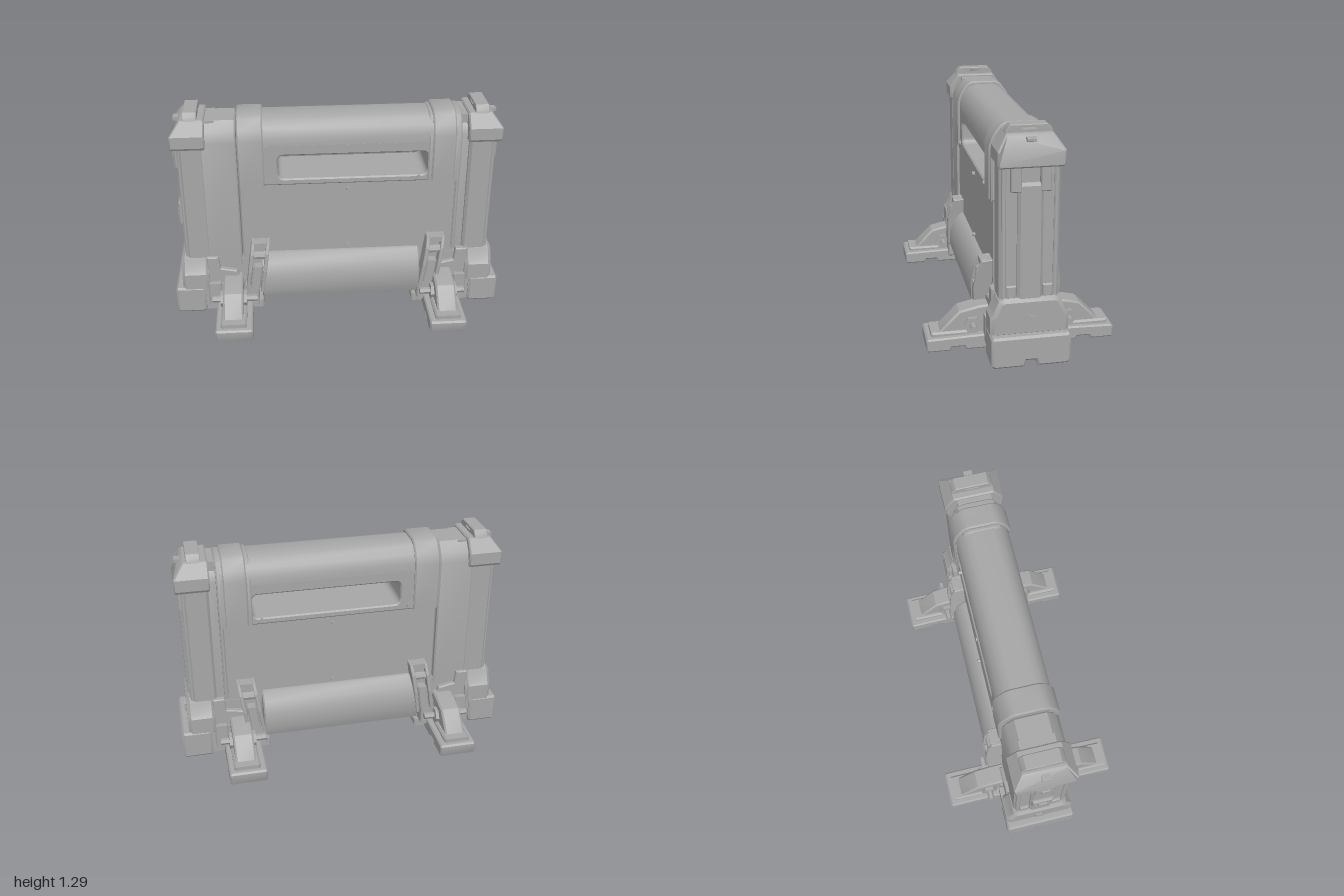
import * as THREE from 'three';
import { toCreasedNormals } from 'three/addons/utils/BufferGeometryUtils.js';

export function createModel() {
  const root = new THREE.Group();
  const gray = new THREE.MeshStandardMaterial({ color: 0xa6a6a6 });
  gray.name = 'plain gray';

  const add = (name, geo, crease = 0.5) => {
    const mesh = new THREE.Mesh(toCreasedNormals(geo, crease), gray);
    mesh.name = name;
    root.add(mesh);
    return mesh;
  };
  const extrude = (shape, depth, bevel) => new THREE.ExtrudeGeometry(shape, {
    depth: depth - 2 * bevel, bevelEnabled: bevel > 0, bevelThickness: bevel, bevelSize: bevel,
    bevelOffset: -bevel, bevelSegments: 1, curveSegments: 5,
  }).translate(0, 0, bevel);

  // Section of [z, y] points swept from xa to xb
  const prism = (pts, xa, xb, bevel = 0.008, hole) => {
    const toV = ([z, y]) => new THREE.Vector2(-z, y);
    const shape = new THREE.Shape(pts.map(toV));
    if (hole) shape.holes.push(new THREE.Path(hole.map(toV)));
    return extrude(shape, Math.abs(xb - xa), bevel).rotateY(Math.PI / 2).translate(Math.min(xa, xb), 0, 0);
  };
  // Completes a section given only its +z half, listed from bottom to top
  const sym = (half) => [...half, ...half.map(([z, y]) => [-z, y]).reverse()];
  const rect = (z0, z1, y0, y1) => [[z0, y0], [z1, y0], [z1, y1], [z0, y1]];
  const block = (name, xa, xb, y0, y1, z0, z1, bevel = 0.008) =>
    add(name, prism(rect(z0, z1, y0, y1), xa, xb, bevel));
  // Outline of [x, y] points given thickness from z0 to z1
  const plate = (pts, z0, z1, bevel = 0.006) =>
    extrude(new THREE.Shape(pts.map((p) => new THREE.Vector2(...p))), z1 - z0, bevel).translate(0, 0, z0);
  const rod = (name, r, sides, xa, xb, y, z) =>
    add(name, new THREE.CylinderGeometry(r, r, Math.abs(xb - xa), sides).rotateZ(Math.PI / 2)
      .translate((xa + xb) / 2, y, z));

  // Handle slab with a rounded slot through it
  const slab = new THREE.Shape([[-0.58, 0.84], [0.72, 0.84], [0.72, 1.1], [-0.58, 1.1]].map((p) => new THREE.Vector2(...p)));
  const x0 = -0.35, x1 = 0.53, y0 = 0.88, y1 = 1.03, r = 0.035;
  const slot = new THREE.Path();
  slot.absarc(x1 - r, y1 - r, r, 0, Math.PI / 2);
  slot.absarc(x0 + r, y1 - r, r, Math.PI / 2, Math.PI);
  slot.absarc(x0 + r, y0 + r, r, Math.PI, Math.PI * 1.5);
  slot.absarc(x1 - r, y0 + r, r, Math.PI * 1.5, Math.PI * 2);
  slot.closePath();
  slab.holes.push(slot);
  add('handleSlab', extrude(slab, 0.316, 0.008).translate(0, 0, -0.158));
  const beamTop = sym([[0.158, 1.09], [0.155, 1.14], [0.135, 1.19], [0.1, 1.23], [0.06, 1.245]]);
  add('handleBeam', prism(beamTop, -0.58, 0.7, 0), 0.7);

  // Centre panel, end panels and bottom bar
  block('centrePanel', -0.58, 0.72, 0.3, 0.86, -0.145, 0.145);
  const endPanel = sym([[0.158, 0.3], [0.158, 1.12], [0.135, 1.18], [0.09, 1.235]]);
  add('endPanel', prism(endPanel, -0.79, -0.585));
  const endPanelNarrow = sym([[0.13, 0.3], [0.13, 1.12], [0.11, 1.17], [0.08, 1.2]]);
  add('endPanel', prism(endPanelNarrow, 0.71, 0.8));
  block('panelRib', 0.7, 0.725, 0.36, 1.08, -0.155, 0.155);
  const bar = sym([[0.15, 0.07], [0.215, 0.1], [0.235, 0.16], [0.235, 0.25], [0.21, 0.33], [0.165, 0.38], [0.14, 0.385]]);
  add('bottomBar', prism(bar, -0.47, 0.5), 0.65);
  for (const z of [-0.146, 0.146])
    for (const [x, y] of [[0.06, 0.41], [0.06, 0.8], [-0.4, 0.87], [0.48, 0.87]])
      add('panelScrew', new THREE.CylinderGeometry(0.012, 0.012, 0.03, 6).rotateX(Math.PI / 2)
        .translate(x, y, y > 0.85 ? z * 1.06 : z));

  // Collars clamped around the handle beam
  const collar = sym([[0.172, 0.84], [0.172, 1.13], [0.15, 1.19], [0.11, 1.245], [0.075, 1.262]]);
  add('collar', prism(collar, -0.58, -0.43));
  add('collar', prism(collar, 0.555, 0.69));
  const collarStep = sym([[0.165, 0.84], [0.165, 1.12], [0.105, 1.235], [0.07, 1.25]]);
  add('collarStep', prism(collarStep, 0.68, 0.725));
  add('collarStep', prism(collarStep, 0.53, 0.56));

  for (const s of [-1, 1]) {
    // End posts with raised centre column
    block('post', s * 0.77, s * 0.915, 0.3, 1.1, -0.16, 0.16, 0.015);
    block('postColumn', s * 0.89, s * 0.94, 0.3, 1.0, -0.068, 0.068, 0.015);
    for (const z of [-1, 1]) {
      block('postBracket', s * 0.89, s * 0.945, 0.955, 1.09, z * 0.05, z * 0.105, 0.006);
      block('postSideRail', s * 0.9, s * 0.93, 0.37, 0.44, z * 0.07, z * 0.125, 0.006);
      block('postRib', s * 0.895, s * 0.925, 0.35, 1.09, z * 0.125, z * 0.15, 0.006);
    }
    // Chamfered post caps, tapering on the outer side
    const cap = prism(sym([[0.165, 1.085], [0.175, 1.1], [0.175, 1.17], [0.12, 1.25]]), s * 0.76, s * 0.96);
    const p = cap.attributes.position;
    for (let i = 0; i < p.count; i++) {
      const x = Math.abs(p.getX(i)), y = p.getY(i);
      if (x > 0.85 && y > 1.18) p.setX(i, s * (x - 0.75 * (y - 1.17)));
    }
    cap.computeVertexNormals();
    add('postCap', cap);
    const lug = sym([[0.125, 1.24], [0.115, 1.27], [0.095, 1.29]]);
    add('capLug', prism(lug, s * 0.8, s * 0.88, 0.004, rect(-0.04, 0.04, 1.26, 1.278)));
    block('capPin', s * 0.9, s * 0.945, 1.215, 1.235, -0.025, 0.025, 0.003);
    block('capNeck', s * 0.7, s * 0.78, 1.05, 1.235, -0.1, 0.1);

    // Post sockets and end blocks
    const socket = sym([[0.212, 0.16], [0.212, 0.27], [0.195, 0.29], [0.165, 0.36], [0.135, 0.375]]);
    add('postSocket', prism(socket, s * 0.79, s * 0.955, 0.02));
    rod('socketBolt', 0.038, 5, s * 0.94, s * 0.965, 0.25, 0);
    const notch = 0.035;
    add('endBlock', prism([[0.2, 0], [0.215, 0.015], [0.215, 0.165], [0.205, 0.178], [-0.205, 0.178], [-0.215, 0.165],
      [-0.215, 0.015], [-0.2, 0], [-notch, 0], [-0.025, 0.035], [0.025, 0.035], [notch, 0]], s * 0.82, s * 0.998, 0.012));
    block('baseCore', s * 0.5, s * 0.84, 0.02, 0.34, -0.15, 0.15);
    block('basePlate', s * 0.465, s * 0.85, 0.005, 0.055, -0.19, 0.19);
    block('baseStep', s * 0.58, s * 0.84, 0.04, 0.19, -0.195, 0.195);

    for (const z of [-1, 1]) {
      const side = (pts) => pts.map(([a, b]) => [z * a, b]);
      // Outrigger pads with a notch beneath, and sloped arms above
      const pad = side([[0.15, 0], [0.31, 0], [0.32, 0.02], [0.39, 0.02], [0.4, 0], [0.525, 0], [0.53, 0.01],
        [0.53, 0.065], [0.52, 0.075], [0.15, 0.085]]);
      add('footPad', prism(pad, s * 0.53, s * 0.75));
      const arm = side([[0.15, 0.05], [0.48, 0.05], [0.465, 0.085], [0.34, 0.21], [0.23, 0.235], [0.15, 0.24]]);
      add('footArm', prism(arm, s * 0.585, s * 0.705, 0.01));
      add('footSole', prism(side(rect(0.24, 0.5, 0.06, 0.1)), s * 0.565, s * 0.72, 0.01));
      // Hinge hardware
      rod('hingeNut', 0.05, 6, s * 0.565, s * 0.725, 0.13, z * 0.27);
      rod('hingePin', 0.02, 6, s * 0.5, s * 0.775, 0.13, z * 0.27);
      block('hingeBracket', s * 0.49, s * 0.58, 0.05, 0.17, z * 0.15, z * 0.24);
      block('hingeBracket', s * 0.72, s * 0.8, 0.05, 0.2, z * 0.15, z * 0.21);
      // Corner gusset above the foot
      const gusset = [[0.59, 0.18], [0.8, 0.18], [0.8, 0.37], [0.73, 0.37], [0.72, 0.29], [0.62, 0.27]].map(([x, y]) => [s * x, y]);
      add('gusset', plate(gusset, z > 0 ? 0.14 : -0.18, z > 0 ? 0.18 : -0.14));
    }
  }

  // Lugs on one end post
  for (const [a, b] of [[0.55, 0.69], [0.93, 1.07]]) {
    block('postLug', -0.9, -0.957, a, b, -0.06, 0.06);
    block('lugPin', -0.95, -0.965, (a + b) / 2 - 0.025, (a + b) / 2 + 0.025, -0.025, 0.025, 0.003);
  }

  // Leaning latches that hold the bottom bar
  for (const cx of [-0.49, 0.575]) {
    for (const z of [-1, 1]) {
      const parts = [];
      const rail = [[0.14, 0.15], [0.245, 0.15], [0.25, 0.3], [0.235, 0.41], [0.205, 0.475], [0.14, 0.48]].map(([a, b]) => [a * z, b]);
      for (const dx of [-0.055, 0.035]) parts.push(add('latchRail', prism(rail, dx, dx + 0.022, 0.004)));
      parts.push(block('latchBack', -0.04, 0.04, 0.16, 0.46, z * 0.13, z * 0.19));
      parts.push(block('latchTop', -0.04, 0.04, 0.445, 0.477, z * 0.14, z * 0.21, 0.004));
      parts.push(block('latchTongue', -0.03, 0.03, 0.17, 0.33, z * 0.18, z * 0.243));
      parts.push(rod('latchRoller', 0.025, 8, -0.04, 0.04, 0.395, z * 0.205));
      // Lean sideways with height
      for (const m of parts) {
        m.geometry.applyMatrix4(new THREE.Matrix4().set(1, 0.14, 0, cx - 0.14 * 0.33, 0, 1, 0, 0, 0, 0, 1, 0, 0, 0, 0, 1));
        m.geometry.computeVertexNormals();
      }
    }
  }
  return root;
}
